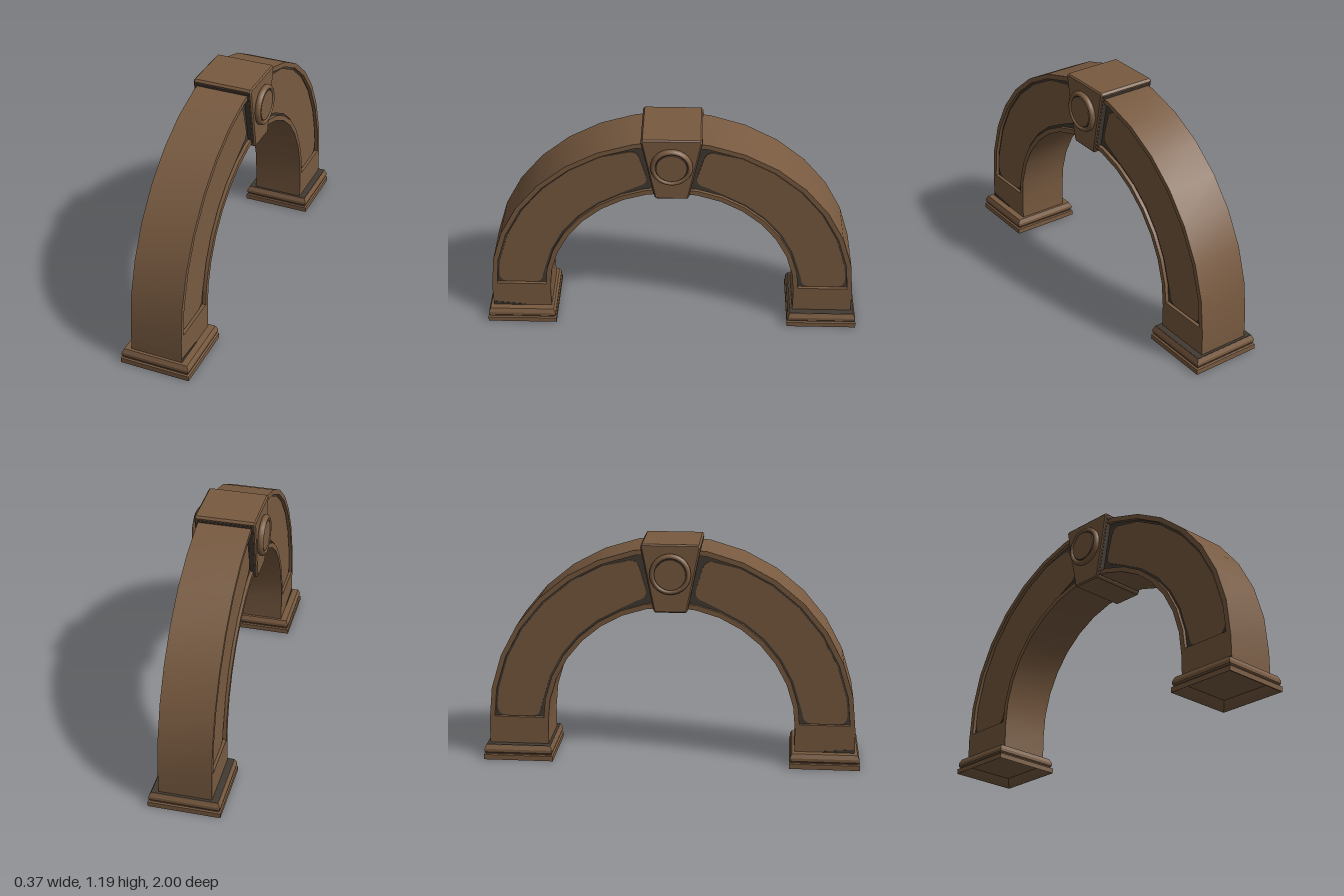
import * as THREE from 'three';
import { toCreasedNormals } from 'three/addons/utils/BufferGeometryUtils.js';

const SPRING = 0.2; // height where the straight legs turn into the arc
const STEPS = 16;

const toPoints = (list) => list.map(([x, y]) => new THREE.Vector2(x, y));

const arcPoint = (r, i) => {
  const a = (i / STEPS) * Math.PI;
  return new THREE.Vector2(r * Math.cos(a), SPRING + r * Math.sin(a));
};

// Arch band between two radii, with straight legs down to y = bottom
function bandShape(outer, inner, bottom) {
  const pts = [new THREE.Vector2(outer, bottom)];
  for (let i = 0; i <= STEPS; i++) pts.push(arcPoint(outer, i));
  pts.push(new THREE.Vector2(-outer, bottom), new THREE.Vector2(-inner, bottom));
  for (let i = STEPS; i >= 0; i--) pts.push(arcPoint(inner, i));
  pts.push(new THREE.Vector2(inner, bottom));
  return new THREE.Shape(pts);
}

// Extrudes a shape drawn in (z, y) symmetrically along x
function extrudeX(shape, half, bevel = 0) {
  const g = new THREE.ExtrudeGeometry(shape, {
    depth: 2 * (half - bevel), curveSegments: 6, bevelEnabled: bevel > 0,
    bevelThickness: bevel, bevelSize: bevel, bevelOffset: -bevel, bevelSegments: 1,
  });
  g.translate(0, 0, -(half - bevel));
  g.rotateY(-Math.PI / 2);
  return toCreasedNormals(g, 0.45);
}

// Raised field of one side panel with rounded corners
function panelShape() {
  const s = new THREE.Shape();
  s.moveTo(0.745, 0.235);
  s.lineTo(0.885, 0.235);
  s.quadraticCurveTo(0.93, 0.235, 0.927, 0.3);
  for (let i = 1; i <= 6; i++) { const p = arcPoint(0.935, i); s.lineTo(p.x, p.y); }
  s.lineTo(0.22, 1.095);
  s.quadraticCurveTo(0.172, 1.105, 0.16, 1.05);
  s.lineTo(0.131, 0.95);
  s.quadraticCurveTo(0.118, 0.9, 0.17, 0.886);
  for (let i = 6; i >= 1; i--) { const p = arcPoint(0.692, i); s.lineTo(p.x, p.y); }
  s.lineTo(0.692, 0.29);
  s.quadraticCurveTo(0.694, 0.235, 0.745, 0.235);
  return s;
}

export function createModel() {
  const group = new THREE.Group();
  const brown = new THREE.MeshStandardMaterial({ color: 0x785a40 });
  brown.name = 'brown';
  const dark = new THREE.MeshStandardMaterial({ color: 0x423a32 });
  dark.name = 'dark recess';

  const add = (name, geometry, material = brown) => {
    const mesh = new THREE.Mesh(geometry, material);
    mesh.name = name;
    group.add(mesh);
    return mesh;
  };

  // Arch: dark recessed core between two raised rims
  add('archCore', extrudeX(bandShape(0.955, 0.67, 0.06), 0.119), dark);
  add('outerRim', extrudeX(bandShape(0.971, 0.945, 0.06), 0.137));
  add('innerRim', extrudeX(bandShape(0.681, 0.655, 0.06), 0.137));

  // Side panels, front and back halves
  const panel = extrudeX(panelShape(), 0.124);
  add('frontPanels', panel);
  add('backPanels', panel).rotation.y = Math.PI;

  // Square moulded base, hollow underneath: half width, height
  const profile = toPoints([
    [0, 0.036], [0.135, 0.036], [0.16, 0.014], [0.186, 0], [0.186, 0.027], [0.177, 0.03],
    [0.177, 0.035], [0.182, 0.042], [0.182, 0.058], [0.172, 0.08], [0.13, 0.08],
  ].map(([w, y]) => [w * Math.SQRT2, y]));
  const base = new THREE.LatheGeometry(profile, 4, Math.PI / 4).toNonIndexed();
  base.computeVertexNormals();

  for (const [side, name] of [[1, 'front'], [-1, 'back']]) {
    add(name + 'LegBlock', new THREE.BoxGeometry(0.274, 0.17, 0.268))
      .position.set(0, 0.145, side * 0.813);
    add(name + 'Base', base).position.z = side * 0.814;
  }

  // Dark weathering on the front leg's foot and on the back base's top
  const stain = new THREE.Shape(toPoints([[0.8, 0.07], [0.969, 0.07], [0.969, 0.1], [0.8, 0.085]]));
  add('frontFootStain', extrudeX(stain, 0.139), dark);
  add('backBaseStain', new THREE.BoxGeometry(0.342, 0.004, 0.342), dark)
    .position.set(0, 0.08, -0.814);

  // Tapered keystone with a dark seam where it meets the arch
  const wedge = new THREE.Shape(toPoints([
    [-0.078, 0.83], [0.078, 0.83], [0.087, 0.84], [0.154, 1.178],
    [0.145, 1.19], [-0.145, 1.19], [-0.154, 1.178], [-0.087, 0.84],
  ]));
  add('keystone', extrudeX(wedge, 0.157, 0.007));
  const seam = new THREE.Shape(toPoints([
    [-0.09, 0.845], [0.09, 0.845], [0.1545, 1.17], [-0.1545, 1.17],
  ]));
  add('keystoneSeam', extrudeX(seam, 0.145), dark);

  // Round medallions: raised ring, dark groove and flat disc
  const ring = new THREE.LatheGeometry(toPoints([
    [0.1, 0], [0.106, 0.006], [0.107, 0.016], [0.102, 0.026], [0.094, 0.031],
    [0.087, 0.029], [0.083, 0.022], [0.083, 0.01],
  ]), 28);
  const groove = new THREE.CylinderGeometry(0.085, 0.085, 0.02, 28);
  const disc = new THREE.CylinderGeometry(0.078, 0.078, 0.027, 28);
  for (const [side, name] of [[1, 'left'], [-1, 'right']]) {
    const parts = [
      [add(name + 'MedallionRing', ring), 0],
      [add(name + 'MedallionGroove', groove, dark), 0.01],
      [add(name + 'MedallionDisc', disc), 0.0135],
    ];
    for (const [mesh, offset] of parts) {
      mesh.rotation.z = -side * Math.PI / 2;
      mesh.position.set(side * (0.156 + offset), 1.038, 0);
    }
  }
  return group;
}
